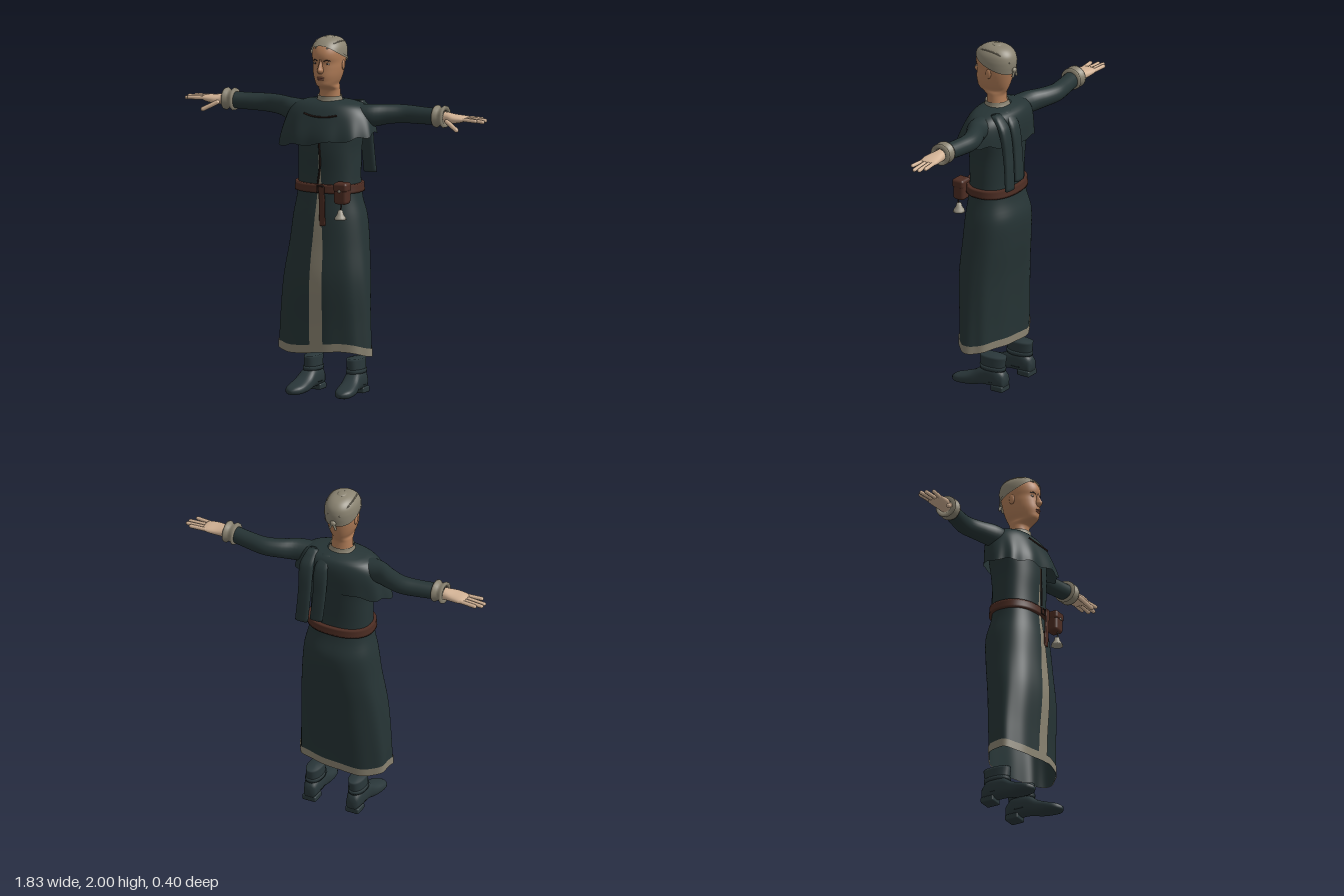
import * as THREE from 'three';
import { RoundedBoxGeometry } from 'three/addons/geometries/RoundedBoxGeometry.js';
import { mergeVertices } from 'three/addons/utils/BufferGeometryUtils.js';

const mat = (name, color, side = THREE.FrontSide) =>
  Object.assign(new THREE.MeshStandardMaterial({ color, side }), { name });

// Smooth interpolation of cross-sections [height, halfWidth, zFront, zBack, centreX]
function section(rings, y) {
  const n = rings.length - 1;
  y = Math.min(Math.max(y, rings[0][0]), rings[n][0]);
  let i = 0;
  while (i < n - 1 && y > rings[i + 1][0]) i++;
  const h = rings[i + 1][0] - rings[i][0], t = (y - rings[i][0]) / h;
  const at = (k, c) => rings[k][c] ?? 0;
  const slope = (k, c) => {
    const a = Math.max(k - 1, 0), b = Math.min(k + 1, n);
    return (at(b, c) - at(a, c)) / (rings[b][0] - rings[a][0]);
  };
  return [1, 2, 3, 4].map(c =>
    at(i, c) * (1 + 2 * t) * (1 - t) ** 2 + at(i + 1, c) * t * t * (3 - 2 * t) +
    h * (slope(i, c) * t * (1 - t) ** 2 - slope(i + 1, c) * t * t * (1 - t)));
}

// Point on a form at a height and an angle (0 = front, +90 degrees = left)
function pointOn(form, y, th, grow = 0) {
  const [rx, zf, zb, cx] = section(form.rings, y);
  const f = form.fold ? form.fold(y, th) : 1, p = form.power ?? 1;
  const s = Math.sin(th), c = Math.cos(th);
  return new THREE.Vector3(
    cx + Math.sign(s) * Math.abs(s) ** p * (rx + grow) * f, y,
    (zf + zb) / 2 + Math.sign(c) * Math.abs(c) ** p * ((zf - zb) / 2 + grow) * f);
}

// Surface over a form between two heights, all round or over an angle range
function skin(form, o = {}) {
  const { rows = 24, cols = 40, grow = 0, range = null, taper = () => 1, cap = false } = o;
  const lo = o.lo ?? (() => form.rings[0][0]), hi = o.hi ?? (() => form.rings.at(-1)[0]);
  const pos = [], idx = [], stride = range ? cols + 1 : cols;
  for (let j = 0; j <= rows; j++) for (let i = 0; i < stride; i++) {
    const u = i / cols;
    const th = range ? (range[0] + (range[1] - range[0]) * u) * taper(j / rows) : u * Math.PI * 2;
    pos.push(...pointOn(form, lo(th) + (hi(th) - lo(th)) * j / rows, th, grow));
  }
  for (let j = 0; j < rows; j++) for (let i = 0; i < cols; i++) {
    const a = j * stride + i, b = j * stride + (i + 1) % stride;
    idx.push(a, b, b + stride, a, b + stride, a + stride);
  }
  if (cap) for (const j of [0, rows]) {
    const [, zf, zb, cx] = section(form.rings, j ? hi(0) : lo(0));
    const mid = pos.length / 3;
    pos.push(cx, j ? hi(0) : lo(0), (zf + zb) / 2);
    for (let i = 0; i < cols; i++) {
      const a = j * stride + i, b = j * stride + (i + 1) % cols;
      idx.push(...(j ? [a, b, mid] : [b, a, mid]));
    }
  }
  const g = new THREE.BufferGeometry();
  g.setAttribute('position', new THREE.Float32BufferAttribute(pos, 3));
  g.setIndex(idx);
  g.computeVertexNormals();
  return g;
}

// Mirror across x, turning the faces the right way out again
function mirrored(geo) {
  const g = mergeVertices(geo).scale(-1, 1, 1), a = g.index.array;
  for (let i = 0; i < a.length; i += 3) [a[i], a[i + 1]] = [a[i + 1], a[i]];
  return g;
}

const V = (x, y, z) => new THREE.Vector3(x, y, z);
const cord = (pts, r) => new THREE.TubeGeometry(new THREE.CatmullRomCurve3(pts), 16, r, 6);
const lathe = (pts, sides) => new THREE.LatheGeometry(pts.map(p => new THREE.Vector2(...p)), sides);
const blob = (c, sx, sy, sz) => new THREE.SphereGeometry(1, 16, 12).scale(sx, sy, sz).translate(...c);
function finger(a, b, r) {
  const d = b.clone().sub(a), mid = a.clone().add(b).multiplyScalar(0.5);
  const q = new THREE.Quaternion().setFromUnitVectors(V(0, 1, 0), d.clone().normalize());
  return new THREE.CapsuleGeometry(r, d.length() - 2 * r, 4, 8).applyQuaternion(q).translate(...mid);
}

export function createModel() {
  const model = new THREE.Group();
  const cloth = mat('dark green cloth', 0x263435, THREE.DoubleSide);
  const linen = mat('grey linen', 0x8a8371, THREE.DoubleSide);
  const leather = mat('brown leather', 0x4c2c22);
  const face = mat('face skin', 0xb07c57);
  const hand = mat('hand skin', 0xd2b295);
  const boot = mat('boot leather', 0x2a373a);
  const lip = mat('lips', 0x8c5846);
  const dark = mat('dark brown', 0x2a1d18);
  const white = mat('eye white', 0xc9bdae);
  const metal = mat('pale metal', 0x9c9687);
  const add = (name, geo, m) => {
    const mesh = new THREE.Mesh(geo, m);
    mesh.name = name;
    model.add(mesh);
  };
  const pair = (name, geo, m) => { add('left' + name, geo, m); add('right' + name, mirrored(geo), m); };

  // Robe with folds growing toward the hem
  const robe = {
    power: 0.85,
    rings: [[0.2, .27, .16, -.09, -.01], [0.4, .265, .165, -.1, -.01], [0.65, .25, .178, -.12, -.005],
      [0.85, .226, .165, -.145], [1.0, .208, .155, -.152], [1.1, .186, .142, -.125], [1.17, .178, .135, -.115],
      [1.25, .176, .135, -.115], [1.38, .178, .14, -.125], [1.5, .195, .13, -.135], [1.58, .195, .11, -.125],
      [1.625, .155, .088, -.1], [1.638, .07, .06, -.06]],
    fold: (y, th) => 1 + Math.max(0, 1.05 - y) * (0.022 * Math.sin(9 * th + 2 * y) + 0.012 * Math.sin(5 * th + 1)),
  };
  const hem = th => 0.242 + 0.012 * Math.sin(3 * th) + 0.008 * Math.cos(th);
  add('robe', skin(robe, { lo: hem, rows: 60, cols: 90 }), cloth);
  add('hemBand', skin(robe, { lo: hem, hi: th => hem(th) + 0.045, rows: 3, cols: 90, grow: .004 }), linen);
  add('frontStrip', skin(robe, { lo: () => .27, hi: () => 1.43, rows: 50, cols: 6, grow: .005,
    range: [-.105, .105], taper: t => 0.12 + 0.88 * Math.min(1, (1 - t) * 1.9) ** 1.6 }), linen);

  // Shoulder cape with an uneven, wavy edge
  const cape = {
    power: 0.88,
    rings: [[1.35, .295, .185, -.13], [1.45, .28, .178, -.135], [1.55, .25, .145, -.138], [1.605, .212, .118, -.128],
      [1.632, .16, .092, -.104], [1.645, .075, .068, -.062]],
    fold: (y, th) => 1 + Math.max(0, 1.58 - y) * 0.22 * Math.sin(11 * th) * (0.6 + 0.4 * Math.cos(th)),
  };
  add('cape', skin(cape, { rows: 24, cols: 110,
    lo: th => 1.43 + .04 * Math.sin(th) - .012 * Math.cos(th) + .008 * Math.sin(9 * th) }), cloth);
  add('capeClasp', cord([-.55, -.25, 0, .25, .55].map(t => pointOn(cape, 1.575 - .012 * Math.cos(t * 3), t * .7, .004)), .005), dark);
  add('collar', skin({ rings: [[1.63, .078, .082, -.066], [1.65, .07, .076, -.056], [1.668, .068, .074, -.052]] }, { rows: 6 }), linen);

  // Hood tails hanging behind the left shoulder
  [[.055, 1.25], [.145, 1.22]].forEach(([cx, end], i) => add('hoodTail' + (i + 1), skin({ power: .7,
    rings: [[end, .038, -.165, -.193, cx + .01], [1.4, .038, -.145, -.18, cx], [1.57, .04, -.11, -.155, cx], [1.635, .03, -.05, -.1, cx - .01]],
  }, { cap: true, cols: 20 }), cloth));

  // Belt, hanging strap, pouch and bell
  add('belt', skin(robe, { lo: () => 1.14, hi: () => 1.188, rows: 4, cols: 60, grow: .016, cap: true }), leather);
  add('beltStrap', new RoundedBoxGeometry(.035, .22, .012, 2, .005).rotateX(.05).translate(.028, 1.07, .168), leather);
  add('beltBuckle', new THREE.TorusGeometry(.024, .005, 6, 4).rotateZ(Math.PI / 4).translate(.01, 1.165, .157), dark);
  add('pouch', new RoundedBoxGeometry(.078, .115, .07, 4, .018).translate(.143, 1.147, .15), leather);
  add('pouchFlap', new RoundedBoxGeometry(.084, .05, .074, 3, .015).translate(.143, 1.185, .152), leather);
  add('pouchButton', blob([.143, 1.165, .19], .008, .008, .005), metal);
  add('bellCord', cord([V(.143, 1.1, .165), V(.147, 1.08, .17), V(.14, 1.055, .168)], .004), dark);
  add('bell', lathe([[.001, 0], [.034, 0], [.03, .012], [.018, .03], [.013, .05], [.001, .056]], 16).translate(.14, 1.005, .168), metal);
  add('chestCord', cord([V(0, 1.42, .15), V(.006, 1.3, .148), V(-.004, 1.19, .157)], .005), dark);

  // Sleeves, cuffs and hands, built along x
  const alongX = (rings, power) => skin({ rings, power }, { cap: true, cols: 24 }).rotateZ(-Math.PI / 2);
  pair('Sleeve', alongX([[.13, .058, .06, -.07, -1.567], [.25, .063, .04, -.08, -1.566], [.33, .055, -.005, -.118, -1.574],
    [.42, .051, -.038, -.14, -1.576], [.52, .048, -.033, -.128, -1.577], [.63, .046, -.016, -.11, -1.58]], 1), cloth);
  pair('Cuff', lathe([[.038, 0], [.06, 0], [.063, .012], [.052, .026], [.052, .04], [.062, .052], [.06, .064], [.036, .064], [.038, 0]], 24)
    .rotateZ(-Math.PI / 2).translate(.61, 1.583, -.064), linen);
  pair('Palm', alongX([[.63, .031, -.03, -.098, -1.58], [.68, .03, -.026, -.1, -1.58], [.73, .025, -.008, -.106, -1.578],
    [.78, .018, -.012, -.112, -1.58], [.805, .01, -.02, -.108, -1.582]], .9), hand);
  [[-.1, .885, -.106], [-.078, .915, -.083], [-.054, .915, -.05], [-.031, .885, -.018]].forEach(([z0, x, z1], i) =>
    pair('Finger' + (i + 1), finger(V(.775, 1.582, z0), V(x, 1.58 - .004 * (i % 3), z1), .011), hand));
  pair('Thumb', finger(V(.69, 1.572, -.02), V(.785, 1.522, .018), .013), hand);

  // Head, face and neck
  const head = {
    power: .93,
    rings: [[1.63, .062, .066, -.045], [1.7, .058, .064, -.04], [1.717, .058, .088, -.045], [1.733, .055, .122, -.054],
      [1.76, .066, .129, -.066], [1.79, .075, .132, -.076], [1.83, .082, .128, -.086], [1.86, .084, .126, -.092],
      [1.89, .086, .134, -.097], [1.92, .085, .131, -.097], [1.95, .077, .115, -.088], [1.975, .058, .086, -.064],
      [1.988, .036, .055, -.034], [1.993, .012, .025, -.003]],
  };
  add('head', skin(head, { rows: 60, cap: true }), face);
  add('nose', skin({ rings: [[1.803, .012, .142, .1], [1.82, .018, .157, .1], [1.838, .013, .151, .1],
    [1.865, .009, .137, .1], [1.89, .007, .132, .1]] }, { cap: true, cols: 16 }), face);
  add('upperLip', blob([0, 1.78, .13], .022, .005, .009), lip);
  add('lowerLip', blob([0, 1.77, .129], .019, .006, .009), lip);
  pair('Ear', blob([.083, 1.842, .012], .008, .028, .017), face);
  pair('Eye', blob(pointOn(head, 1.857, .42, -.002), .014, .006, .005), white);
  pair('Iris', blob(pointOn(head, 1.857, .42, .001), .006, .0055, .004), dark);
  pair('Brow', cord([.2, .4, .62].map((t, i) => pointOn(head, [1.872, 1.878, 1.872][i], t)), .003), dark);

  // Coif with rim, crown seams and a knot behind
  const edge = th => 1.885 + .055 * Math.cos(th) + .015 * Math.cos(th) ** 2;
  add('coif', skin(head, { lo: edge, rows: 30, cols: 60, grow: .007 }).translate(0, .002, 0), linen);
  add('coifCrown', blob([0, 1.992, .011], .026, .008, .03), linen);
  add('coifRim', skin(head, { lo: edge, hi: th => edge(th) + .014, rows: 3, cols: 60, grow: .011 }), linen);
  pair('CoifSeam', cord([0, .25, .5, .75, 1].map(t => {
    const k = Math.abs(2 * t - 1);
    return pointOn(head, 1.972 - .06 * k * k + .03 * (1 - t) * k, .35 + (Math.PI - .7) * t, .007);
  }), .004), linen);
  add('coifKnot', blob([0, 1.865, -.105], .018, .015, .012), linen);
  pair('CoifTie', finger(V(.004, 1.865, -.108), V(.02, 1.825, -.106), .007), linen);

  // Boots: foot built along z, then shaft, strap and heel
  const shaft = { power: .9, rings: [[.05, .046, .03, -.128, .132], [.11, .044, .022, -.125, .132], [.2, .042, .03, -.137, .13]] };
  pair('BootFoot', skin({ power: .8, rings: [[-.137, .032, -.02, -.1, .13], [-.09, .046, -.02, -.14, .132], [0, .049, -.018, -.13, .135],
    [.06, .054, -.006, -.09, .142], [.13, .055, -.003, -.062, .148], [.175, .04, -.004, -.048, .152], [.195, .014, -.012, -.034, .153]],
  }, { cap: true, cols: 28 }).rotateX(Math.PI / 2), boot);
  pair('BootShaft', skin(shaft, { cap: true, rows: 12, cols: 28 }), boot);
  pair('BootStrap', skin(shaft, { lo: () => .118, hi: () => .14, rows: 2, cols: 28, grow: .005, cap: true }), boot);
  pair('BootHeel', new RoundedBoxGeometry(.082, .034, .08, 2, .008).translate(.132, .017, -.098), boot);
  return model;
}
